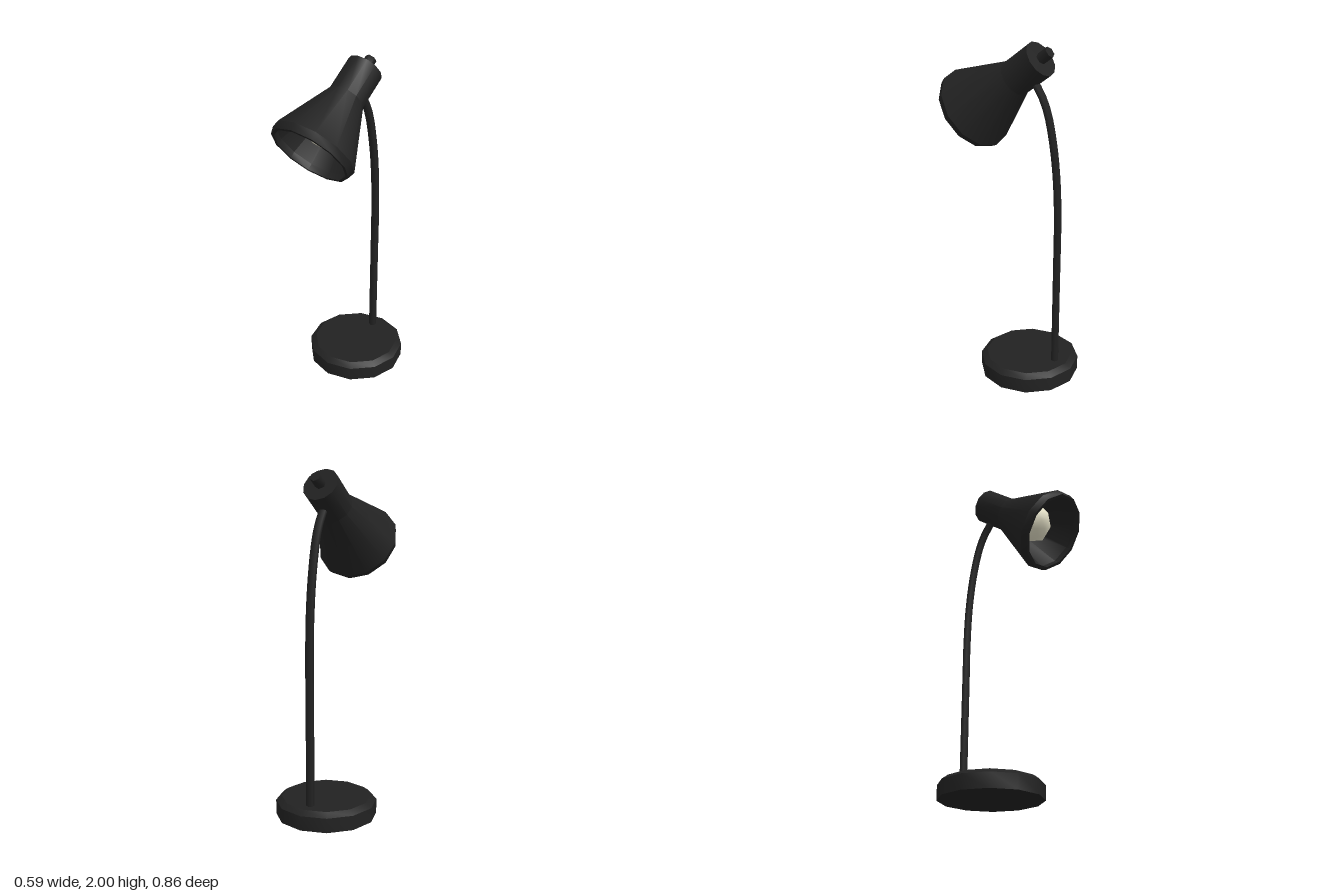
import * as THREE from 'three';
import { toCreasedNormals } from 'three/addons/utils/BufferGeometryUtils.js';

const material = (name, color) => {
  const m = new THREE.MeshStandardMaterial({ color });
  m.name = name;
  return m;
};

// Turned part: profile is a list of [radius, height], low to high on the outside
function turned(name, profile, sides, mat, crease = 0.62) {
  const points = profile.map(([r, h]) => new THREE.Vector2(r, h));
  const mesh = new THREE.Mesh(toCreasedNormals(new THREE.LatheGeometry(points, sides), crease), mat);
  mesh.name = name;
  return mesh;
}

export function createModel() {
  const black = material('black enamel', 0x222222);
  const cream = material('cream glass', 0xeae6cc);
  const lamp = new THREE.Group();
  lamp.name = 'deskLamp';

  // Heavy base with a bevelled top edge
  const base = turned('base', [[0, 0], [0.297, 0], [0.297, 0.085], [0.262, 0.11], [0, 0.11]], 12, black);
  base.position.z = -0.137;
  lamp.add(base);

  // Gooseneck stem, straight below and bending forward into the head
  const path = new THREE.CatmullRomCurve3([
    [0.1, -0.322], [0.4, -0.322], [0.75, -0.322], [0.95, -0.322], [1.2, -0.313],
    [1.43, -0.286], [1.63, -0.24], [1.725, -0.196], [1.775, -0.16], [1.805, -0.13],
  ].map(([y, z]) => new THREE.Vector3(0, y, z)));
  const stem = new THREE.Mesh(new THREE.TubeGeometry(path, 28, 0.024, 6), black);
  stem.name = 'stem';
  lamp.add(stem);

  // Head: local y runs from the back cap towards the open mouth
  const head = new THREE.Group();
  head.name = 'head';
  head.position.set(0, 1.913, -0.193);
  head.rotation.x = THREE.MathUtils.degToRad(126);
  lamp.add(head);

  // Hollow shade with neck, flare, rolled rim and inner wall
  head.add(turned('shade', [
    [0, 0], [0.106, 0], [0.106, 0.207], [0.249, 0.553], [0.236, 0.594],
    [0.219, 0.594], [0.228, 0.553], [0.09, 0.215], [0, 0.215],
  ], 12, black));

  // Switch knob on the back cap
  head.add(turned('switchKnob', [[0, -0.07], [0.033, -0.07], [0.033, 0.005]], 6, black, 1.1));

  // Bulb inside the shade
  head.add(turned('bulb', [
    [0.05, 0.21], [0.06, 0.27], [0.105, 0.35], [0.12, 0.42], [0.1, 0.475], [0.06, 0.505], [0, 0.515],
  ], 6, cream, 1.1));

  return lamp;
}
